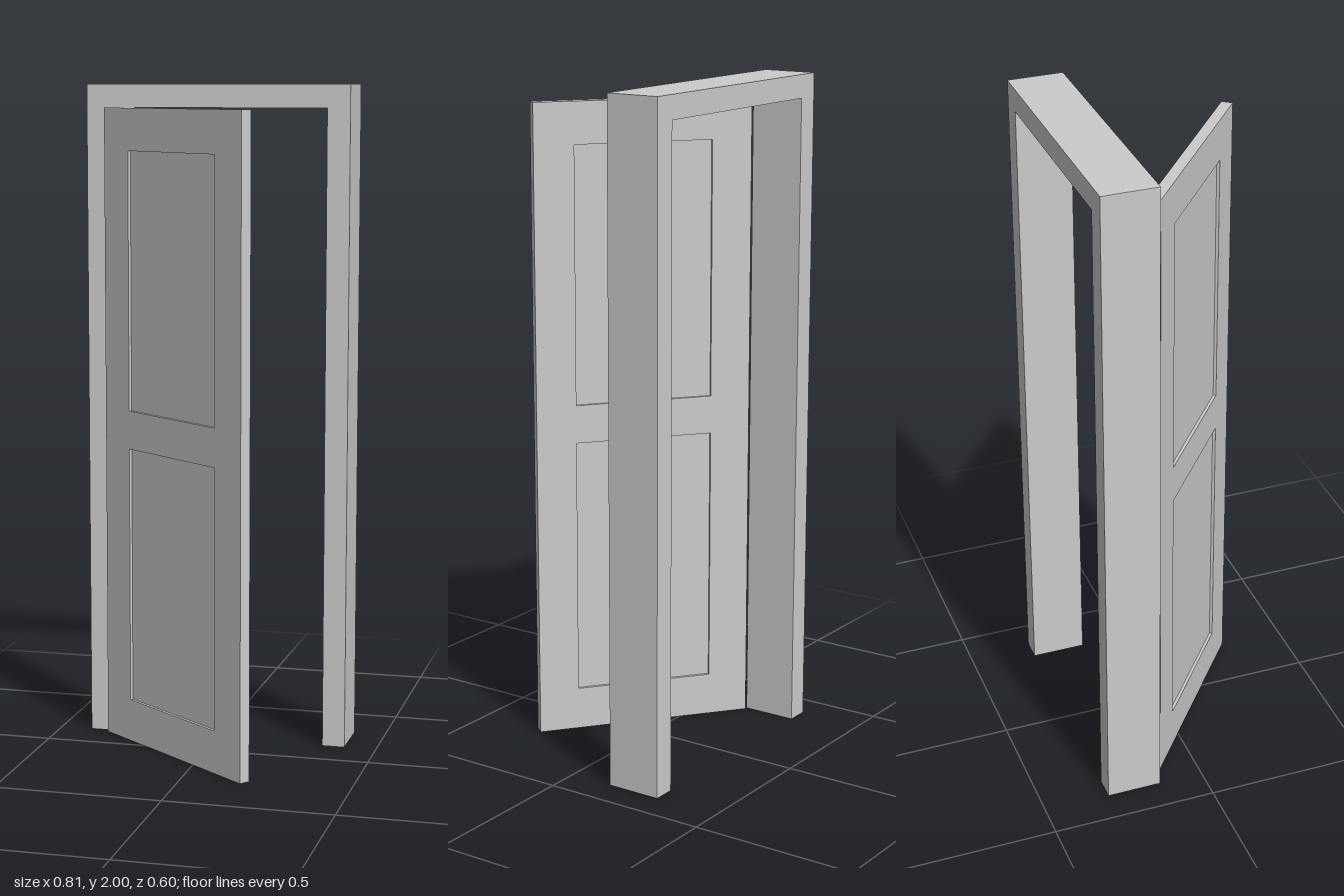
import * as THREE from 'three';

const material = new THREE.MeshStandardMaterial({ color: 0xcccccc, flatShading: true });

function addMesh(parent, name, geometry) {
  const mesh = new THREE.Mesh(geometry, material);
  mesh.name = name;
  parent.add(mesh);
  return mesh;
}

// Extrudes a shape so that its depth is centred on z = 0
function slab(shape, depth) {
  const geometry = new THREE.ExtrudeGeometry(shape, { depth, bevelEnabled: false });
  return geometry.translate(0, 0, -depth / 2);
}

function rectangle(Curve, x0, x1, y0, y1) {
  return new Curve([[x0, y0], [x1, y0], [x1, y1], [x0, y1]].map(([x, y]) => new THREE.Vector2(x, y)));
}

// Two jambs and a head in one piece, open at the floor
function buildFrame() {
  const outer = 0.403, inner = 0.334, top = 2, head = 1.931;
  const points = [
    [-outer, 0], [-inner, 0], [-inner, head], [inner, head],
    [inner, 0], [outer, 0], [outer, top], [-outer, top],
  ].map(([x, y]) => new THREE.Vector2(x, y));
  return slab(new THREE.Shape(points), 0.166);
}

export function createModel() {
  const model = new THREE.Group();
  model.name = 'openDoorway';

  addMesh(model, 'doorFrame', buildFrame()).position.z = -0.218;

  // Door leaf, swung open on the model's right jamb
  const door = new THREE.Group();
  door.name = 'door';
  door.position.set(-0.0705, 0, 0.081);
  door.rotation.y = -THREE.MathUtils.degToRad(38.3);
  model.add(door);

  const half = 0.333, thickness = 0.034, recess = 0.009, panelHalf = 0.211;
  const leaf = rectangle(THREE.Shape, -half, half, 0.002, 1.931);

  // Panels sunk equally into both faces
  for (const [name, y0, y1] of [['lowerPanel', 0.131, 0.911], ['upperPanel', 1.027, 1.805]]) {
    leaf.holes.push(rectangle(THREE.Path, -panelHalf, panelHalf, y0, y1));
    const panel = new THREE.BoxGeometry(panelHalf * 2, y1 - y0, thickness - 2 * recess);
    addMesh(door, name, panel).position.y = (y0 + y1) / 2;
  }
  addMesh(door, 'doorLeaf', slab(leaf, thickness));

  return model;
}
